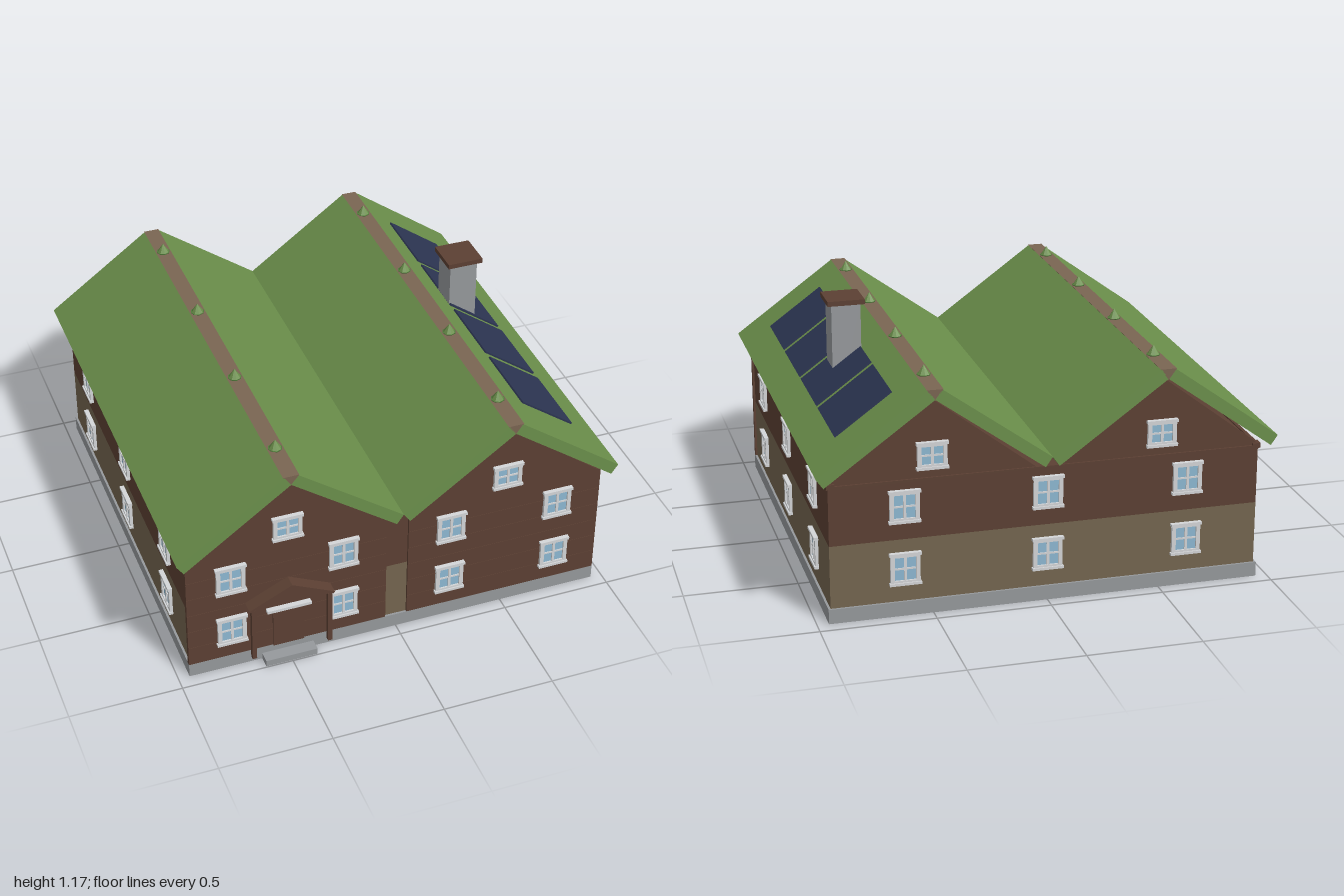
import * as THREE from 'three';

const mat = (name, color, side = THREE.FrontSide) => {
  const m = new THREE.MeshStandardMaterial({ color, side });
  m.name = name;
  return m;
};

export function createModel() {
  const brown = mat('dark timber', 0x5c4033);
  const tan = mat('tan wall', 0x74654f);
  const ridgeWood = mat('ridge wood', 0x7a6552);
  const stone = mat('grey stone', 0x96999c);
  const turf = mat('turf green', 0x6b8f4b);
  const tuftGreen = mat('tuft green', 0x4f7a3a);
  const panelBlue = mat('panel blue', 0x2c3552);
  const white = mat('window white', 0xd4d6d8);
  const glass = mat('window glass', 0x8db8d2);

  const house = new THREE.Group();
  house.name = 'house';

  const add = (name, geo, m, parent = house) => {
    const mesh = new THREE.Mesh(geo, m);
    mesh.name = name;
    parent.add(mesh);
    return mesh;
  };
  // Box given by its lower and upper bounds
  const box = (name, m, x0, x1, y0, y1, z0, z1, parent) => {
    const b = add(name, new THREE.BoxGeometry(x1 - x0, y1 - y0, z1 - z0), m, parent);
    b.position.set((x0 + x1) / 2, (y0 + y1) / 2, (z0 + z1) / 2);
    return b;
  };
  // Outline in x and y, extruded from z0 to z1
  const prism = (name, m, points, z0, z1, parent) => {
    const shape = new THREE.Shape(points.map(([x, y]) => new THREE.Vector2(x, y)));
    const geo = new THREE.ExtrudeGeometry(shape, { depth: z1 - z0, bevelEnabled: false });
    geo.translate(0, 0, z0);
    return add(name, geo, m, parent);
  };

  // Foundation and two-tone wall block
  box('foundation', stone, -0.95, 0.95, 0, 0.065, -0.94, 0.94);
  box('lowerWall', tan, -0.94, 0.94, 0.065, 0.345, -0.93, 0.93);
  box('upperWall', brown, -0.94, 0.94, 0.345, 0.61, -0.93, 0.93);

  // Trim along the top of the walls
  for (const s of [-1, 1]) {
    box('sideTrim', brown, s * 0.94 - 0.008, s * 0.94 + 0.008, 0.595, 0.615, -0.93, 0.93);
    for (const e of [-1, 1]) {
      box('cornerBlock', brown, s * 0.93 - 0.018, s * 0.93 + 0.018, 0.6, 0.622, e * 0.92 - 0.02, e * 0.92 + 0.02);
    }
  }
  box('backTrim', brown, -0.94, 0.94, 0.597, 0.612, -0.938, -0.92);
  box('valleyBlock', brown, -0.05, 0.05, 0.605, 0.622, 0.9, 0.942);

  for (const cx of [-0.5, 0.5]) {
    // Front cladding with fine board joints, then the gable ends
    box('frontCladding', brown, cx - 0.45, cx + 0.45, 0.065, 0.61, 0.92, 0.94);
    for (let y = 0.155; y < 0.6; y += 0.09) {
      box('boardLap', brown, cx - 0.45, cx + 0.45, y, y + 0.004, 0.938, 0.942);
    }
    const gable = [[cx - 0.45, 0.61], [cx + 0.45, 0.61], [cx, 0.955]];
    prism('frontGable', brown, gable, 0.92, 0.94);
    prism('backGable', brown, gable, -0.93, -0.91);

    // Pair of turf roof slabs and the ridge beam between them
    for (const s of [-1, 1]) {
      prism('roofSlab', turf, [
        [cx + s * 0.5, 0.675], [cx + s * 0.03, 1.015], [cx, 0.972], [cx + s * 0.47, 0.632],
      ], -1, 1);
    }
    prism('ridgeBeam', ridgeWood, [[cx - 0.035, 1.016], [cx, 0.968], [cx + 0.035, 1.016]], -1, 1);
    for (const z of [-0.8, -0.267, 0.267, 0.8]) {
      const tuft = add('ridgeTuft', new THREE.ConeGeometry(0.03, 0.046, 8).toNonIndexed(), turf);
      tuft.geometry.computeVertexNormals();
      tuft.position.set(cx, 1.037, z);
      const core = add('tuftBase', new THREE.CylinderGeometry(0.031, 0.027, 0.01, 8), tuftGreen);
      core.position.set(cx, 1.014, z);
    }
  }

  // Solar panels lying on the right-hand slope
  const slope = Math.atan2(0.34, 0.47);
  for (const z of [-0.6, -0.203, 0.195, 0.595]) {
    const panel = add('solarPanel', new THREE.BoxGeometry(0.302, 0.009, 0.358), panelBlue);
    panel.position.set(0.754, 0.857, z);
    panel.rotation.z = -slope;
  }

  // Chimney
  box('chimney', stone, 0.63, 0.76, 0.615, 1.145, -0.167, -0.037);
  box('chimneyCap', brown, 0.614, 0.779, 1.145, 1.167, -0.185, -0.02);

  // Window facing +z, its back on the wall plane
  const makeWindow = (x, y, z, turn, h = 0.14) => {
    const w = new THREE.Group();
    w.name = 'window';
    const a = h / 2;
    box('glass', glass, -0.056, 0.056, -a, a, 0, 0.006, w);
    for (const s of [-1, 1]) {
      box('jamb', white, s * 0.055 - 0.009, s * 0.055 + 0.009, -a, a, 0, 0.014, w);
      box('rail', white, -0.06, 0.06, s * (a - 0.009) - 0.009, s * (a - 0.009) + 0.009, 0, 0.014, w);
    }
    box('mullion', white, -0.006, 0.006, -a, a, 0, 0.012, w);
    box('crossbar', white, -0.055, 0.055, -0.004, 0.004, 0, 0.01, w);
    box('head', white, -0.069, 0.069, a - 0.01, a + 0.003, 0, 0.02, w);
    box('sill', white, -0.069, 0.069, -a - 0.003, -a + 0.009, 0, 0.02, w);
    w.position.set(x, y, z);
    w.rotation.y = turn;
    house.add(w);
  };
  for (const y of [0.215, 0.495]) {
    for (const x of [-0.755, -0.25, 0.245, 0.745]) makeWindow(x, y, 0.94, 0);
    for (const d of [-0.62, 0, 0.62]) {
      makeWindow(0.94, y, d, Math.PI / 2);
      makeWindow(-0.94, y, d, -Math.PI / 2);
      makeWindow(d, y, -0.93, Math.PI);
    }
  }
  for (const x of [-0.5, 0.5]) {
    makeWindow(x, 0.71, 0.94, 0, 0.115);
    makeWindow(x, 0.71, -0.93, Math.PI, 0.115);
  }

  // Entrance: step, door, posts and little pediment roof
  const porch = new THREE.Group();
  porch.name = 'porch';
  house.add(porch);
  box('step', stone, -0.62, -0.385, 0, 0.03, 0.93, 0.995, porch);
  box('door', brown, -0.57, -0.43, 0.065, 0.268, 0.935, 0.948, porch);
  box('doorLintel', white, -0.6, -0.4, 0.267, 0.281, 0.935, 0.965, porch);
  for (const s of [-1, 1]) {
    box('post', brown, -0.5 + s * 0.172 - 0.01, -0.5 + s * 0.172 + 0.01, 0.065, 0.335, 0.977, 0.998, porch);
    prism('porchRoofSlab', brown, [
      [-0.5, 0.432], [-0.5 + s * 0.192, 0.34], [-0.5 + s * 0.187, 0.33], [-0.5, 0.418],
    ], 0.935, 1, porch);
  }
  prism('pediment', brown, [[-0.68, 0.333], [-0.32, 0.333], [-0.5, 0.42]], 0.935, 0.996, porch);

  return house;
}
